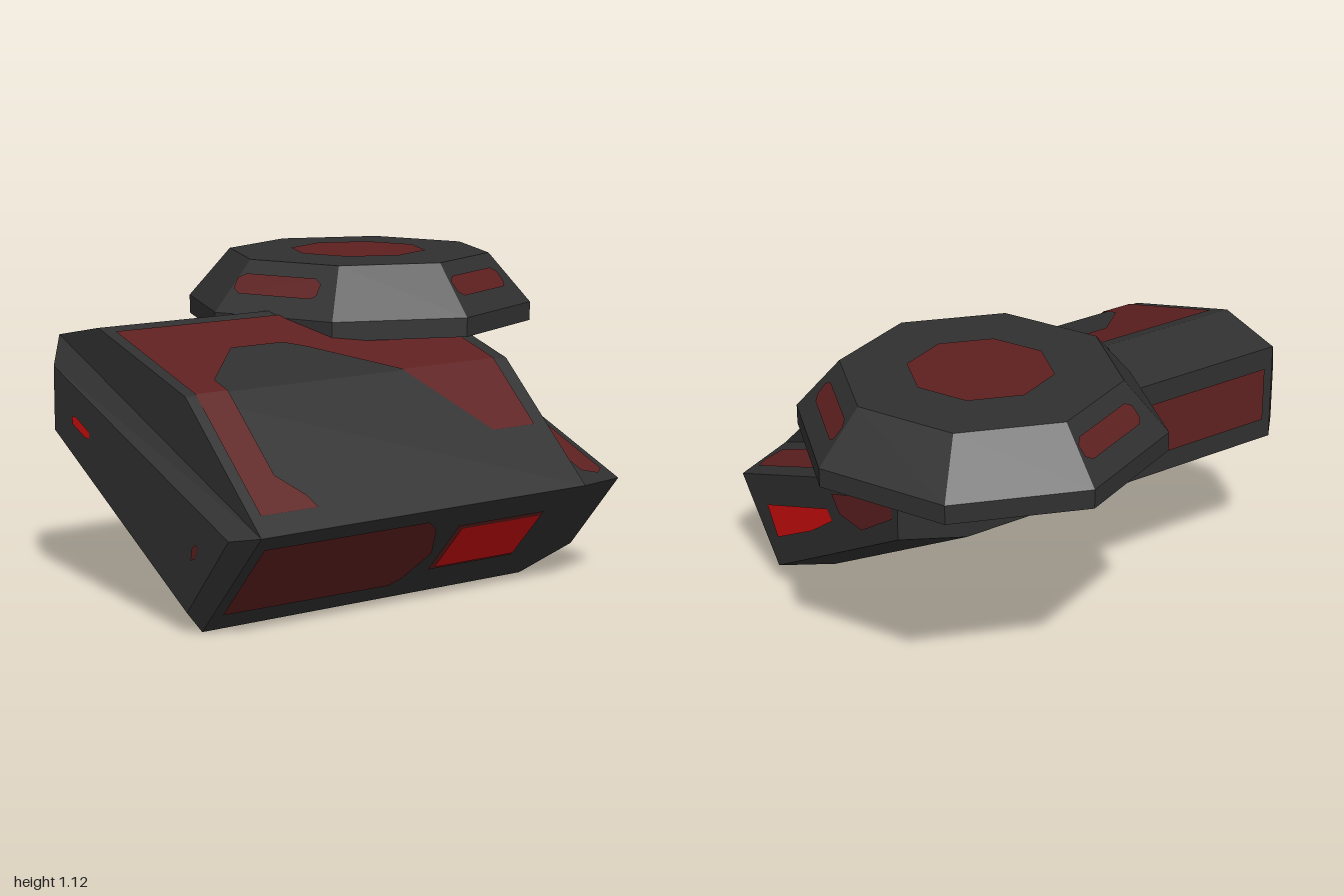
import * as THREE from 'three';

const hull = new THREE.MeshStandardMaterial({ color: 0x303030 });
hull.name = 'charcoal hull';
const panel = new THREE.MeshStandardMaterial({ color: 0x5e2020, side: THREE.DoubleSide });
panel.name = 'dark red panel';
const glow = new THREE.MeshStandardMaterial({ color: 0xcc0d0d, side: THREE.DoubleSide });
glow.name = 'bright red window';

const LIFT = 0.005; // height of painted plates above the surface

function flat(geometry) {
  const g = geometry.index ? geometry.toNonIndexed() : geometry;
  g.computeVertexNormals();
  return g;
}

// Joins rings of points (counter-clockwise seen from +z), ordered front to back
function loft(rings) {
  const pos = [];
  const tri = (...pts) => pts.forEach((p) => pos.push(...p));
  for (let r = 0; r + 1 < rings.length; r++) {
    const f = rings[r], b = rings[r + 1], n = f.length;
    for (let i = 0; i < n; i++) {
      const j = (i + 1) % n;
      tri(f[i], b[i], f[j]);
      tri(f[j], b[i], b[j]);
    }
  }
  const a = rings[0], z = rings[rings.length - 1];
  for (let i = 1; i + 1 < a.length; i++) {
    tri(a[0], a[i], a[i + 1]);
    tri(z[0], z[i + 1], z[i]);
  }
  const g = new THREE.BufferGeometry();
  g.setAttribute('position', new THREE.Float32BufferAttribute(pos, 3));
  return flat(g);
}

export function createModel() {
  const model = new THREE.Group();
  const add = (name, geometry, material) => {
    const mesh = new THREE.Mesh(geometry, material);
    mesh.name = name;
    model.add(mesh);
  };

  // A flat painted outline, placed on a face by a mapping from 2D to 3D
  const plate = (name, outline, toFace, material = panel) => {
    const pts = outline.map(([u, v]) => new THREE.Vector2(u, v));
    const g = new THREE.BufferGeometry();
    g.setAttribute('position', new THREE.Float32BufferAttribute(outline.flatMap(([u, v]) => toFace(u, v)), 3));
    g.setIndex(THREE.ShapeUtils.triangulateShape(pts, []).flat());
    g.computeVertexNormals();
    // Turn the face outward when the mapping reverses it
    const n = new THREE.Vector3().fromBufferAttribute(g.attributes.normal, 0);
    const p = new THREE.Vector3(...toFace(...outline[0])).sub(new THREE.Vector3(0.2, 0.48, 0.1));
    if (name.startsWith('body') && n.dot(p) < 0) {
      g.index.array.reverse();
      g.computeVertexNormals();
    }
    add(name, g, material);
  };

  // Slanted body with tapered ends
  const wide = [[-0.34, 0.53], [0.57, 0.005], [0.92, 0.39], [-0.34, 0.9]];
  const narrow = [[-0.28, 0.57], [0.57, 0.08], [0.82, 0.37], [-0.28, 0.8]];
  const at = (section, z) => section.map(([x, y]) => [x, y, z]);
  add('body', loft([at(narrow, 1), at(wide, 0.94), at(wide, -0.45), at(narrow, -0.7)]), hull);

  // Raised deck on the body
  const deck = [[0.92, 0.39], [0.48, 0.79], [-0.07, 0.955], [-0.34, 0.9]];
  add('deck', loft([at(deck, 0.94), at(deck, -0.45)]), hull);

  // Eight-sided dish
  const cx = -0.27, cz = -0.34;
  const profile = [[0, 0.865], [0.66, 0.865], [0.66, 0.935], [0.5, 1.12], [0, 1.12]];
  const dish = new THREE.LatheGeometry(profile.map((p) => new THREE.Vector2(...p)), 8);
  dish.translate(cx, 0, cz);
  add('dish', flat(dish), hull);

  // Round plates above and below the dish
  for (const [name, r, y, tilt] of [['dishTopPanel', 0.26, 1.12 + LIFT, -1], ['dishBottomPanel', 0.38, 0.865 - LIFT, 1]]) {
    const disc = new THREE.CircleGeometry(r, 8);
    disc.rotateX(tilt * Math.PI / 2);
    disc.translate(cx, y, cz);
    add(name, disc, panel);
  }

  // Bars on four of the dish's sloping sides
  const bar = [[-0.18, 0.43], [-0.16, 0.36], [0.15, 0.36], [0.18, 0.45], [0.18, 0.64], [0.15, 0.73], [-0.15, 0.73], [-0.18, 0.64]];
  for (const [degrees, shift] of [[67.5, 0.03], [-22.5, 0.03], [157.5, 0.03], [-67.5, -0.03]]) {
    const a = THREE.MathUtils.degToRad(degrees);
    plate('dishSideBar', bar, (s, f) => {
      const r = THREE.MathUtils.lerp(0.61, 0.462, f) + LIFT * 0.78;
      const t = s + shift;
      return [cx + r * Math.cos(a) - t * Math.sin(a), 0.935 + 0.185 * f + LIFT * 0.62, cz + r * Math.sin(a) + t * Math.cos(a)];
    });
  }

  // C-shaped paint over the two deck slopes
  const upperSlope = (x, z) => [x, 0.955 - (x + 0.07) * 0.3 + LIFT, z];
  const lowerSlope = (x, z) => [x, 0.79 - (x - 0.48) * 0.909 + LIFT, z];
  plate('bodyDeckPanel', [[-0.02, 0.9], [0.48, 0.9], [0.48, 0.77], [0.4, 0.77], [0.19, 0.56], [0.19, 0.34],
    [0.24, 0.27], [0.48, 0.03], [0.48, -0.39], [-0.02, -0.39]], upperSlope);
  plate('bodyDeckPanelFront', [[0.48, 0.9], [0.86, 0.9], [0.86, 0.67], [0.82, 0.69], [0.75, 0.77], [0.48, 0.77]], lowerSlope);
  plate('bodyDeckPanelBack', [[0.48, 0.03], [0.71, -0.2], [0.71, -0.39], [0.48, -0.39]], lowerSlope);

  // Paint on the rear taper
  plate('bodyRearSlopePanel', [[0.3, -0.65], [0.78, -0.65], [0.82, -0.6], [0.82, -0.52], [0.43, -0.51]], (x, z) => {
    const k = (-0.45 - z) / 0.25;
    return [x, THREE.MathUtils.lerp(0.762 - 0.405 * x, 0.691 - 0.391 * x, k) + LIFT + 0.002, z];
  });

  // Long left side: pointed panel and a framed window
  const leftSide = (lift) => (z, y) => [0.57 + (y - 0.005) * 0.909 + lift, y, z];
  plate('bodyLeftPanel', [[0.9, 0.07], [0.9, 0.34], [0.22, 0.34], [0.16, 0.3], [0.1, 0.19], [0.16, 0.09], [0.2, 0.065]], leftSide(LIFT));
  plate('bodyLeftWindowFrame', [[0.06, 0.11], [0.06, 0.3], [-0.325, 0.3], [-0.325, 0.11]], leftSide(LIFT));
  plate('bodyLeftWindow', [[0.04, 0.118], [0.04, 0.285], [-0.32, 0.285], [-0.32, 0.118]], leftSide(LIFT * 1.8), glow);

  // Upright right side
  plate('bodyRightPanel', [[0.9, 0.61], [0.9, 0.82], [0.25, 0.82], [0.12, 0.72], [0.22, 0.61]], (z, y) => [-0.34 - LIFT, y, z]);

  // Underside
  plate('bodyUndersidePanel', [[0.35, 0.85], [-0.28, 0.85], [-0.28, -0.39], [0.1, -0.39], [0.1, -0.25],
    [-0.05, -0.1], [-0.05, 0.5], [0.1, 0.65], [0.35, 0.65]], (x, z) => [x, 0.53 - (x + 0.34) * 0.577 - LIFT, z]);

  // Front marks
  const front = (x, y) => [x, y, 1 + LIFT * 0.6];
  plate('bodyFrontWindow', [[-0.155, 0.635], [-0.13, 0.64], [-0.04, 0.597], [-0.04, 0.572], [-0.07, 0.575], [-0.15, 0.61]], front, glow);
  plate('bodyFrontMark', [[0.6, 0.265], [0.625, 0.275], [0.645, 0.315], [0.63, 0.325], [0.605, 0.305]], front);

  // Rear window and panel
  const rear = (x, y) => [x, y, -0.7 - LIFT * 0.6];
  plate('bodyRearWindow', [[0.634, 0.316], [0.19, 0.49], [0.157, 0.454], [0.307, 0.347], [0.563, 0.207]], rear, glow);
  plate('bodyRearPanel', [[0.157, 0.566], [-0.24, 0.71], [-0.25, 0.64], [-0.046, 0.505], [0.105, 0.505]], rear);

  return model;
}
